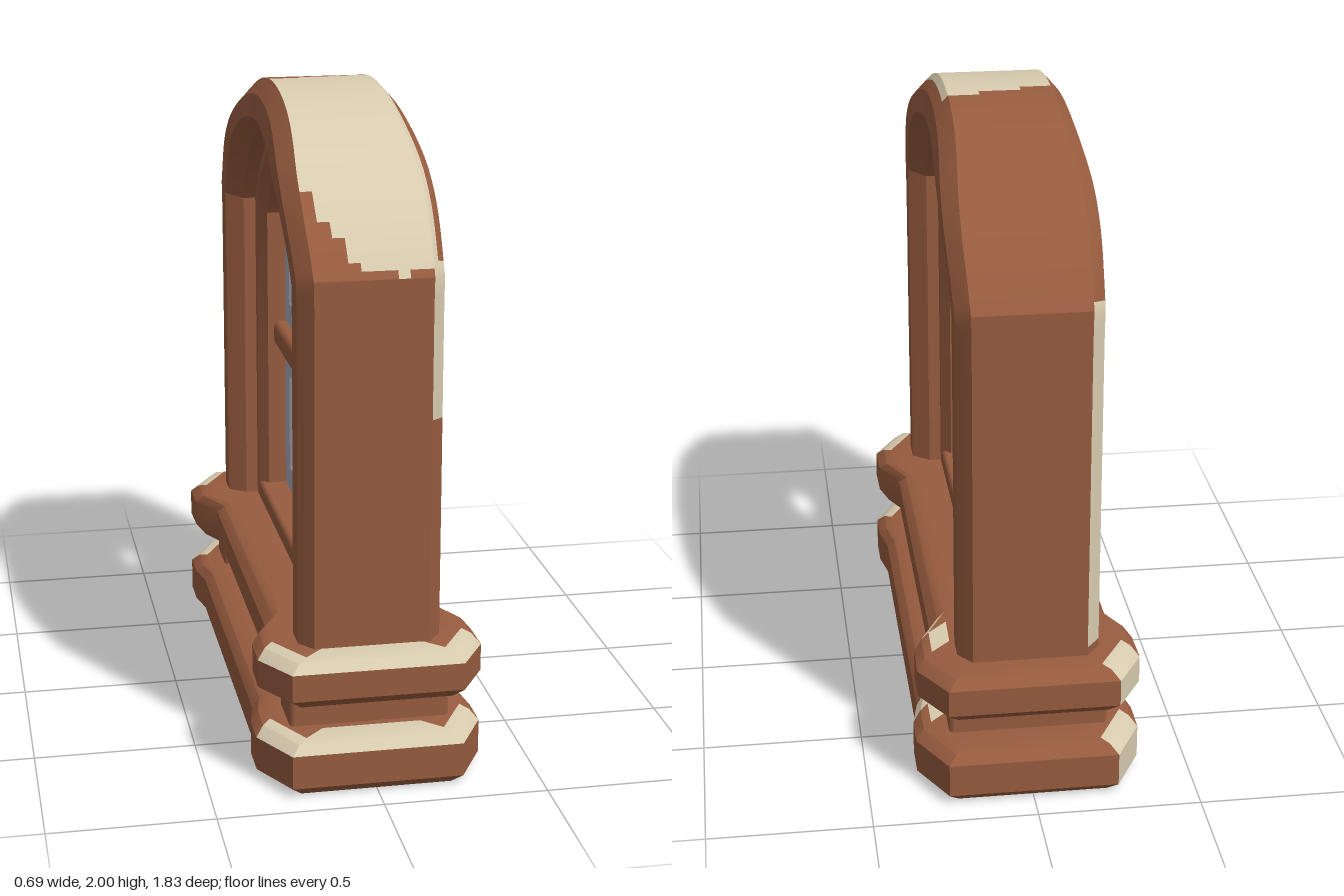
import * as THREE from 'three';
import { toCreasedNormals } from 'three/addons/utils/BufferGeometryUtils.js';
import { RoundedBoxGeometry } from 'three/addons/geometries/RoundedBoxGeometry.js';

const V = (x, y, z) => new THREE.Vector3(x, y, z);
const mat = (name, color) => {
  const m = new THREE.MeshStandardMaterial({ color });
  m.name = name;
  return m;
};

// Closed skin over rings of points; faces chosen by isWorn go to the second material
function loft(rings, isWorn = () => false) {
  const lists = [[], []];
  const n = rings[0].length;
  const tri = (a, b, c, worn) => lists[worn ? 1 : 0].push([a, b, c]);
  for (let i = 0; i < rings.length - 1; i++) {
    for (let j = 0; j < n; j++) {
      const k = (j + 1) % n;
      const [a, b, c, d] = [rings[i][j], rings[i][k], rings[i + 1][k], rings[i + 1][j]];
      const mid = V(0, 0, 0).add(a).add(b).add(c).add(d).multiplyScalar(0.25);
      const worn = isWorn(mid, j);
      tri(a, b, c, worn);
      tri(a, c, d, worn);
    }
  }
  [rings[0], rings[rings.length - 1]].forEach((ring, end) => {
    const mid = ring.reduce((s, p) => s.add(p), V(0, 0, 0)).divideScalar(n);
    ring.forEach((p, j) => {
      const q = ring[(j + 1) % n];
      if (end) tri(p, q, mid); else tri(q, p, mid);
    });
  });
  // Turn the skin outwards
  let volume = 0;
  const cross = V(0, 0, 0);
  lists.flat().forEach(([a, b, c]) => { volume += a.dot(cross.crossVectors(b, c)); });
  const geo = new THREE.BufferGeometry();
  const pts = lists.flat().flatMap(([a, b, c]) => (volume < 0 ? [a, c, b] : [a, b, c]));
  geo.setFromPoints(pts);
  geo.addGroup(0, lists[0].length * 3, 0);
  if (lists[1].length) geo.addGroup(lists[0].length * 3, lists[1].length * 3, 1);
  return toCreasedNormals(geo, 0.45);
}

// Height of a round arch at z, for half width w, spring height s and crown height top
function arcY(z, [w, s, top]) {
  const rise = top - s;
  const r = (w * w + rise * rise) / (2 * rise);
  return top - r + Math.sqrt(Math.max(0, r * r - z * z));
}

// Sweep a [t, x] section up one post, over the arch and down the other; t runs outer to inner
function archSweep(outer, inner, section, base, nPost, nArch, widen, isWorn) {
  const rings = [];
  const ring = (f) => rings.push(section.map(([t, x]) => {
    const dims = outer.map((o, i) => o + (inner[i] - o) * t);
    const [z, y] = f(dims);
    return V(x * widen(y), y, z);
  }));
  for (let i = 0; i < nPost; i++) ring(([w, s]) => [w, base + (s - base) * i / nPost]);
  for (let i = 0; i <= nArch; i++) {
    ring((d) => {
      const half = Math.asin(Math.min(1, d[0] / ((d[0] ** 2 + (d[2] - d[1]) ** 2) / (2 * (d[2] - d[1])))));
      const z = d[0] * Math.sin(half * (1 - 2 * i / nArch)) / Math.sin(half);
      return [z, arcY(z, d)];
    });
  }
  for (let i = nPost - 1; i >= 0; i--) ring(([w, s]) => [-w, base + (s - base) * i / nPost]);
  return loft(rings, isWorn);
}

// Bevelled slab from a quarter outline of [x, z] points
function slab(quarter, y0, y1, isWorn) {
  const rev = [...quarter].reverse();
  const outline = [
    ...quarter, ...rev.map(([x, z]) => [x, -z]),
    ...quarter.map(([x, z]) => [-x, -z]), ...rev.map(([x, z]) => [-x, z]),
  ];
  const level = (y, inset) => outline.map(([x, z]) =>
    V(x - Math.sign(x) * inset, y, z - Math.sign(z) * inset));
  return loft([level(y0, 0.03), level(y0 + 0.03, 0), level(y1 - 0.035, 0),
    level(y1 - 0.008, 0.025), level(y1, 0.05), level(y1, 0.11)], isWorn);
}

export function createModel() {
  const brown = mat('brown wood', 0x985c3f);
  const cream = mat('worn cream', 0xd9ccb0);
  const grey = mat('grey glass', 0xa3aab5);
  const blue = mat('blue tint', 0x8fb6cc);
  const model = new THREE.Group();
  const add = (name, geo, material) => {
    const mesh = new THREE.Mesh(geo, material);
    mesh.name = name;
    model.add(mesh);
    return mesh;
  };
  const block = (name, m, sx, sy, sz, x, y, z, r = 0.015) =>
    add(name, new RoundedBoxGeometry(sx, sy, sz, 1, Math.min(r, sx / 3)), m).position.set(x, y, z);

  // Base slab, recessed core and sill
  const wornEnds = (y) => (p) =>
    (p.z > 0.78 && p.y > y) || (p.x < -0.26 && p.z < -0.78 && p.y > y - 0.13) ||
    (p.x > 0.25 && p.z < -0.55 && p.z > -0.66 && p.y > y);
  add('baseSlab', slab([[0.26, 0.915], [0.345, 0.76], [0.345, 0.65], [0.325, 0.55]], 0, 0.17, wornEnds(0.145)),
    [brown, cream]);
  add('sill', slab([[0.26, 0.915], [0.342, 0.78], [0.34, 0.66], [0.28, 0.54]], 0.28, 0.43, wornEnds(0.405)),
    [brown, cream]);
  block('baseCore', brown, 0.42, 0.14, 1.5, 0, 0.225, 0);
  for (const s of [1, -1]) block('corePost', brown, 0.49, 0.14, 0.18, 0, 0.225, s * 0.69);

  // Outer arched frame: outer face split finely so that wear has a ragged edge
  const strips = 10;
  const side = [[0.12, 0.193], [0.3, 0.217], [0.75, 0.217], [0.85, 0.195], [1, 0.16]];
  const section = [];
  for (let i = 0; i <= strips; i++) section.push([0, -0.175 + 0.35 * i / strips]);
  section.push(...side, ...[...side].reverse().map(([t, x]) => [t, -x]));
  const widen = (y) => 1 + 0.05 * Math.exp(-(((y - 1.75) / 0.15) ** 2))
    - 0.08 * THREE.MathUtils.smoothstep(y, 1.8, 2);
  const frameWorn = (p, j) => {
    const jag = 0.02 * Math.sin(p.x * 47) * Math.cos(p.z * 9);
    const last = section.length - 1;
    const crown = p.y > 1.57 + 8 * Math.min(0, p.x) ** 2 + jag && p.z > -0.08 - 0.15 * p.x + jag;
    if (j < strips) return crown;
    if (j === strips) return p.z > -0.1 && p.y > 1.13;
    if (j === strips + 1) return p.z > 0.7 && p.y > 1.13 && p.y < 1.58;
    if (j === strips + 3) return p.z < 0 && p.y > 0.47 && p.y < 1.5;
    if (j >= last - 1) return p.z < -0.7 && p.y > 0.45 && p.y < 1.56;
    return false;
  };
  add('archFrame', archSweep([0.81, 1.55, 2], [0.63, 1.5, 1.84], section, 0.41, 24, 72, widen, frameWorn),
    [brown, cream]);

  // Inner frame, bottom rail and glazing bars
  const innerSection = [[0, -0.12], [0, 0.12], [0.6, 0.12], [1, 0.09], [1, -0.09], [0.6, -0.12]];
  add('innerFrame', archSweep([0.65, 1.51, 1.86], [0.56, 1.46, 1.775], innerSection, 0.41, 2, 32, () => 1), [brown]);
  block('bottomRail', brown, 0.24, 0.09, 1.2, 0, 0.44, 0);
  block('uprightBar', brown, 0.15, 1.34, 0.085, 0, 1.12, -0.011, 0.02);
  block('crossBar', brown, 0.14, 0.085, 1.15, 0, 1.035, 0, 0.02);
  block('barWear', cream, 0.006, 0.55, 0.012, 0.074, 1.4, 0.012, 0.002);

  // Glass panes with openings, drawn as [z, y]
  const opening = [0.56, 1.47, 1.78];
  const toPts = (list) => list.map(([z, y]) => new THREE.Vector2(z, y));
  const pane = (name, outline, hole) => {
    const shape = new THREE.Shape(toPts(outline));
    shape.holes.push(new THREE.Path(toPts(hole)));
    const geo = new THREE.ExtrudeGeometry(shape, {
      depth: 0.03, bevelEnabled: true, bevelSize: 0.012, bevelThickness: 0.015, bevelOffset: -0.012, bevelSegments: 1,
    });
    geo.translate(0, 0, -0.015).rotateY(-Math.PI / 2);
    add(name, geo, grey);
  };
  const rect = (a, b, c, d) => [[a, c], [b, c], [b, d], [a, d]];
  const archPane = (a, b) => {
    const pts = [[b, 1.07], [a, 1.07]];
    for (let i = 0; i <= 10; i++) {
      const z = a + (b - a) * i / 10;
      pts.push([z, arcY(z, opening)]);
    }
    return pts;
  };
  pane('lowerPaneFront', rect(0.02, 0.56, 0.475, 1), rect(0.14, 0.45, 0.58, 0.89));
  pane('lowerPaneBack', rect(-0.57, -0.05, 0.475, 1), rect(-0.46, -0.15, 0.58, 0.89));
  pane('upperPaneFront', archPane(0.02, 0.56), [[0.45, 1.17], [0.14, 1.17], [0.14, 1.48], [0.1, 1.52],
    [0.1, 1.6], [0.13, 1.645], [0.18, 1.66], [0.23, 1.63], [0.45, 1.43]]);
  pane('upperPaneBack', archPane(-0.05, -0.56), [[-0.145, 1.11], [-0.145, 1.62], [-0.18, 1.655], [-0.24, 1.63],
    [-0.46, 1.43], [-0.46, 1.17], [-0.33, 1.17], [-0.3, 1.115], [-0.22, 1.09]]);

  // Tinted patches on both faces of the glass
  const patches = [[0.46, 1.48, 0.045, 0.16, 0.6], [0.06, 1.55, 0.025, 0.12, 0], [-0.43, 1.52, 0.03, 0.1, -0.75]];
  for (const s of [1, -1]) {
    for (const [z, y, w, h, turn] of patches) {
      const tint = add('glassTint', new THREE.BoxGeometry(0.004, h, w), blue);
      tint.position.set(s * 0.031, y, z);
      tint.rotation.x = -turn;
    }
  }
  return model;
}
